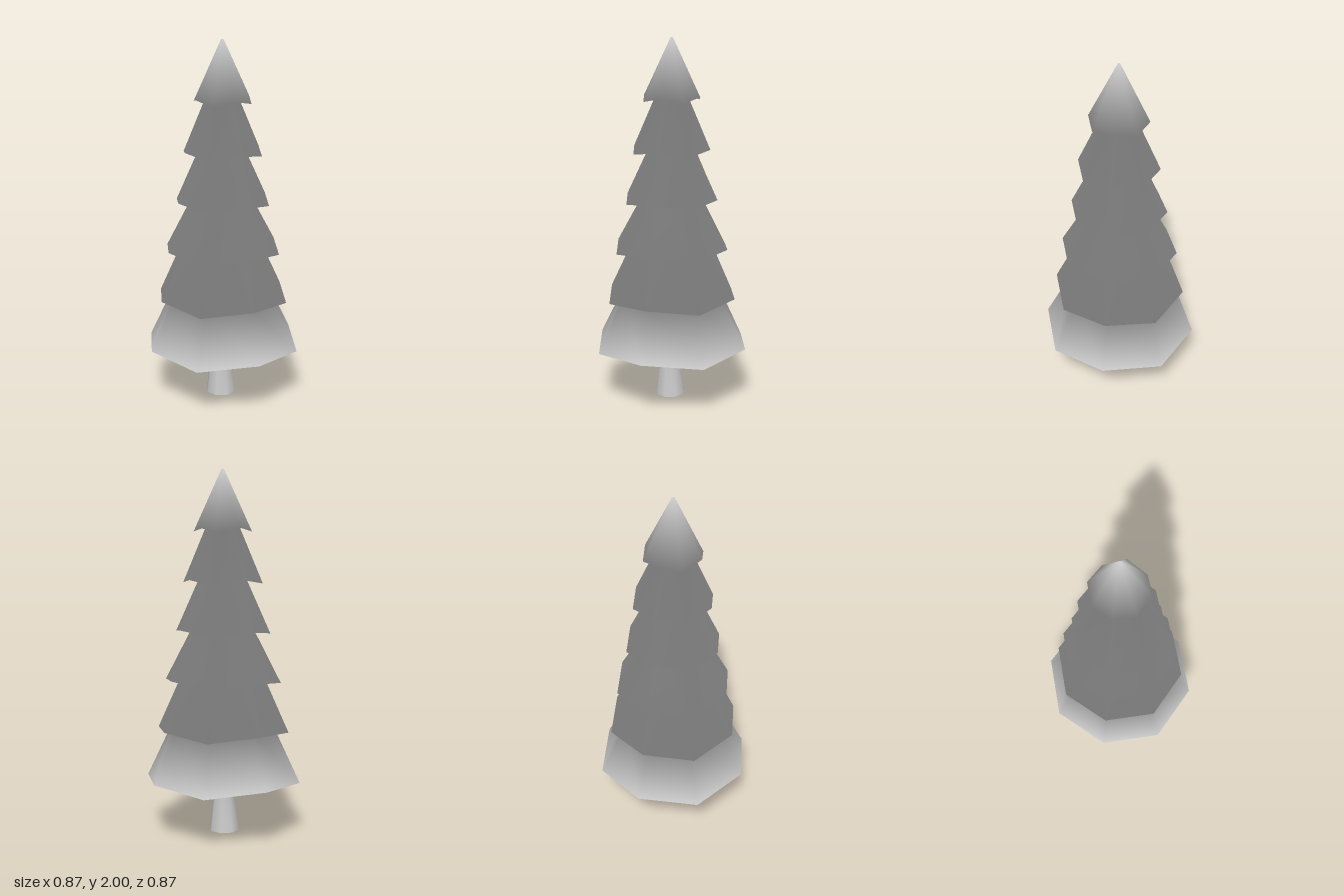
import * as THREE from 'three';
import { toCreasedNormals } from 'three/addons/utils/BufferGeometryUtils.js';

const SIDES = 8;
const TIP = 0.007;

// Rim radius and height of each tier, then the radius where it meets the tier above
const TIERS = [
  [0.435, 0.295, 0.28],
  [0.37, 0.575, 0.225],
  [0.325, 0.85, 0.16],
  [0.265, 1.12, 0.122],
  [0.222, 1.39, 0.085],
  [0.162, 1.667, TIP],
];

function createFoliage(material) {
  // One continuous zigzag profile: rim, slope up, ledge out to the next rim
  const profile = [];
  TIERS.forEach(([rim, y, neck], i) => {
    const top = i < TIERS.length - 1 ? TIERS[i + 1][1] + 0.045 : 2;
    profile.push(new THREE.Vector2(rim, y), new THREE.Vector2(neck, top));
  });
  const geometry = new THREE.LatheGeometry(profile, SIDES);

  // Lift every second corner of each rim for the drooping points
  const pos = geometry.attributes.position;
  for (let side = 1; side < SIDES; side += 2) {
    for (let j = 0; j < profile.length; j += 2) {
      const k = side * profile.length + j;
      pos.setY(k, pos.getY(k) + 0.025);
    }
  }
  // Fully smooth, blending slopes and ledges at every rim
  const foliage = new THREE.Mesh(toCreasedNormals(geometry, Math.PI), material);
  foliage.name = 'foliage';
  return foliage;
}

function createTip(material) {
  // Tiny flat cap closing the top
  const tip = new THREE.Mesh(new THREE.CircleGeometry(TIP, SIDES), material);
  tip.rotation.x = -Math.PI / 2;
  tip.position.y = 2;
  tip.name = 'tip';
  return tip;
}

function createTrunk(material) {
  // Waisted trunk, closed at the base and running up inside the lowest tier
  const profile = [[0, 0], [0.083, 0], [0.062, 0.2], [0.079, 0.6], [0, 0.6]]
    .map(([r, y]) => new THREE.Vector2(r, y));
  const geometry = new THREE.LatheGeometry(profile, SIDES);
  const trunk = new THREE.Mesh(toCreasedNormals(geometry, Math.PI / 3), material);
  trunk.position.set(-0.007, 0, 0.007);
  trunk.name = 'trunk';
  return trunk;
}

export function createModel() {
  const material = new THREE.MeshStandardMaterial({ color: 0xcccccc, side: THREE.DoubleSide });
  const tree = new THREE.Group();
  tree.name = 'firTree';
  tree.add(createFoliage(material), createTip(material), createTrunk(material));
  return tree;
}
